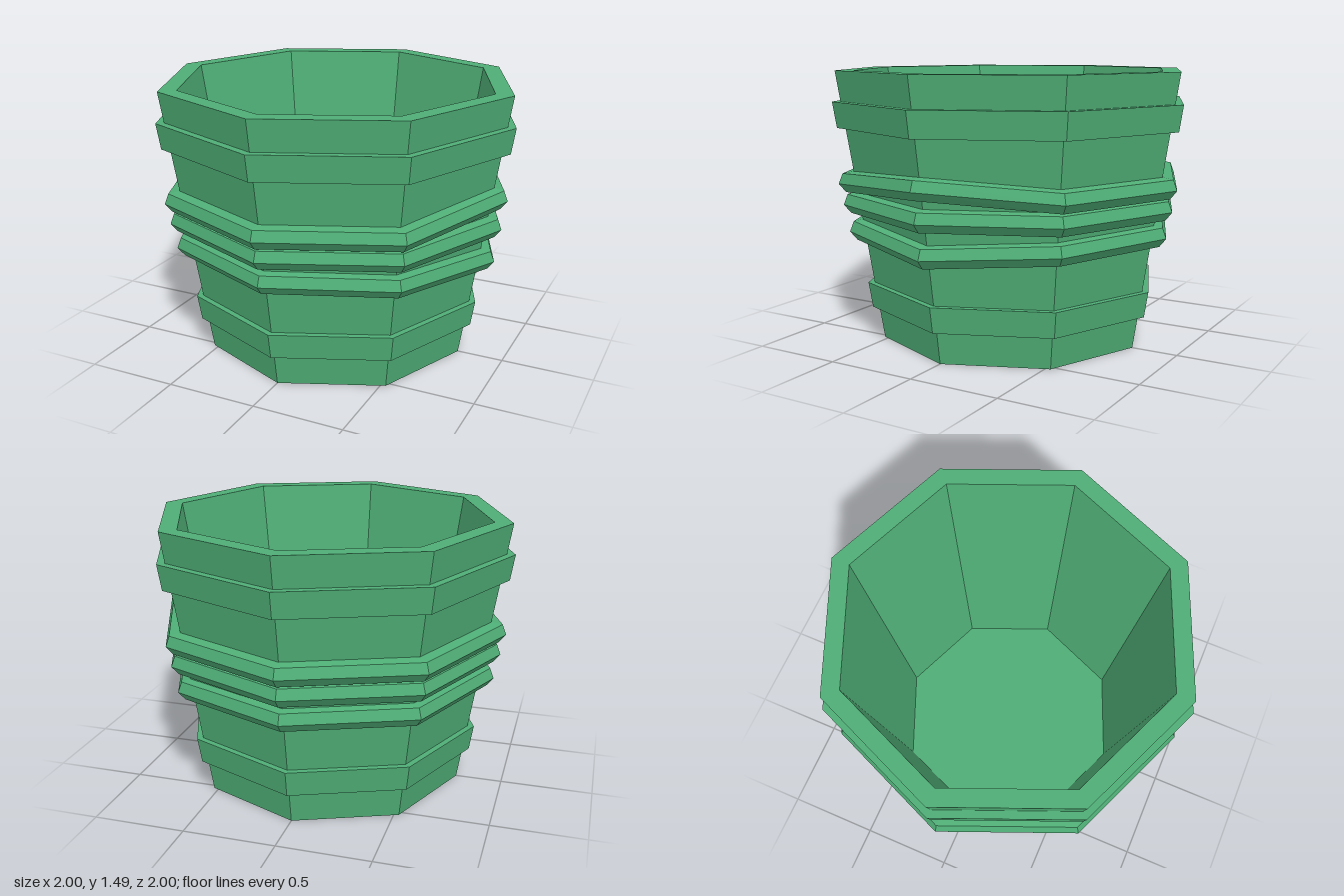
import * as THREE from 'three';

const SIDES = 8;
const HEIGHT = 1.485, BASE_R = 0.745, TOP_R = 0.98, WALL = 0.1, FLOOR_Y = 0.07;
const SLOPE = (TOP_R - BASE_R) / HEIGHT;
const wallRadius = (y) => BASE_R + SLOPE * y;

export function createModel() {
  const model = new THREE.Group();
  model.name = 'bucket';
  const green = new THREE.MeshStandardMaterial({ color: 0x4fae76, flatShading: true });

  // Octagonal turned part from [radius, height] points, with corners on the x and z axes
  const turned = (name, points) => {
    const profile = points.map(([r, y]) => new THREE.Vector2(r, y));
    const mesh = new THREE.Mesh(new THREE.LatheGeometry(profile, SIDES), green);
    mesh.name = name;
    model.add(mesh);
    return mesh;
  };

  // Hollow tapered body: base, outer wall, flat rim, inner wall, floor
  turned('body', [
    [0, 0], [BASE_R, 0], [TOP_R, HEIGHT],
    [TOP_R - WALL, HEIGHT], [BASE_R - WALL, FLOOR_Y], [0, FLOOR_Y],
  ]);

  // Flat bands that follow the taper
  const band = (name, y0, y1, out) => turned(name, [
    [wallRadius(y0) - 0.02, y0], [wallRadius(y0) + out, y0],
    [wallRadius(y1) + out, y1], [wallRadius(y1) - 0.02, y1],
  ]);
  band('lowerBand', 0.18, 0.32, 0.035);
  band('upperBand', 1.18, 1.32, 0.045);

  // Hexagonal rope coils; lift moves the +x corner, sideLift its two neighbours
  const coil = (name, radius, y, lift, sideLift) => {
    const points = [];
    for (let i = 0; i <= 6; i++) {
      const a = -Math.atan(SLOPE) + (i * Math.PI) / 3;
      points.push([radius + 0.06 * Math.cos(a), y + 0.06 * Math.sin(a)]);
    }
    const pos = turned(name, points).geometry.attributes.position;
    for (let i = 0; i < pos.count; i++) {
      const c = pos.getX(i) / Math.hypot(pos.getX(i), pos.getZ(i));
      if (c > 0.9) pos.setY(i, pos.getY(i) + lift);
      else if (c > 0.5) pos.setY(i, pos.getY(i) + sideLift);
    }
  };
  coil('upperCoil', 0.917, 0.887, 0.047, 0);
  coil('middleCoil', 0.893, 0.772, 0, 0);
  coil('lowerCoil', 0.864, 0.63, -0.045, -0.008);

  return model;
}
